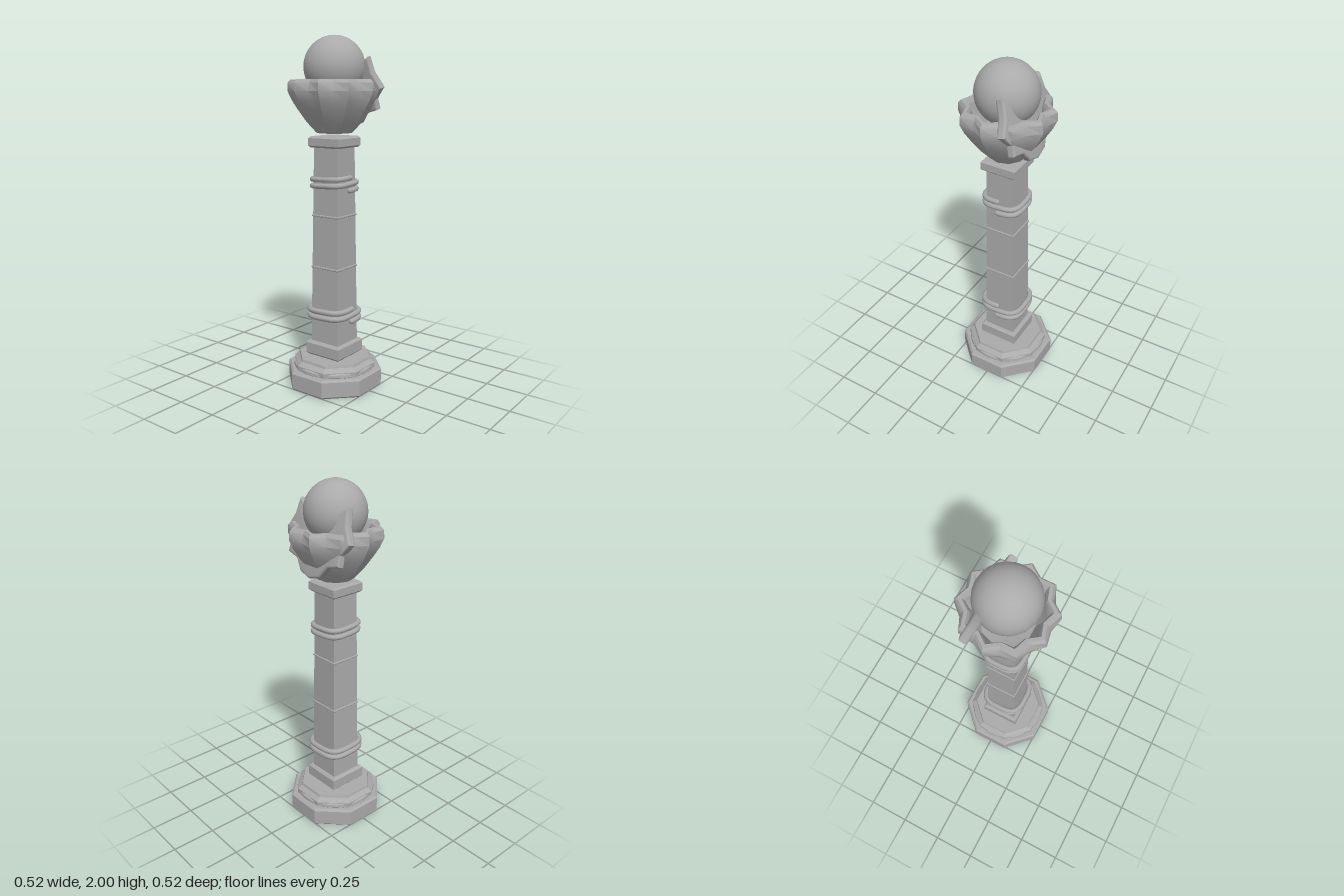
import * as THREE from 'three';
import { toCreasedNormals } from 'three/addons/utils/BufferGeometryUtils.js';

const stone = new THREE.MeshStandardMaterial({ color: 0xaaaaaa });
stone.name = 'stone grey';

export function createModel() {
  const model = new THREE.Group();
  model.name = 'orbPillar';

  const add = (name, geometry, parent = model) => {
    const mesh = new THREE.Mesh(geometry, stone);
    mesh.name = name;
    parent.add(mesh);
    return mesh;
  };

  // Regular prism from [apothem, y] pairs, with flats facing the axes
  const prism = (name, sides, profile, crease = 0.3) => {
    const k = 1 / Math.cos(Math.PI / sides);
    const points = profile.map(([a, y]) => new THREE.Vector2(a * k, y));
    const lathe = new THREE.LatheGeometry(points, sides, Math.PI / sides);
    return add(name, toCreasedNormals(lathe, crease));
  };
  // Square or octagonal block with chamfered edges
  const block = (name, sides, a, y0, y1, c) => prism(name, sides, [
    [0, y0], [a - c, y0], [a, y0 + c], [a, y1 - c], [a - c, y1], [0, y1]]);

  // Stepped foot
  block('foot', 8, 0.26, 0, 0.11, 0.011);
  prism('footRing', 40, [[0, 0.1], [0.228, 0.1], [0.236, 0.112], [0.234, 0.128], [0.225, 0.135], [0, 0.135]], 0.6);
  prism('footStep', 8, [[0, 0.11], [0.225, 0.11], [0.225, 0.138], [0.2, 0.158], [0.196, 0.172], [0, 0.172]]);

  // Tapered square shaft with its blocks and thin joints
  block('plinth', 4, 0.117, 0.175, 0.26, 0.012);
  const shaftHalf = (y) => 0.096 - 0.0125 * (y - 0.2);
  prism('shaft', 4, [[0, 0.17], [shaftHalf(0.17), 0.17], [shaftHalf(1.4), 1.4], [0, 1.4]]);
  for (const y of [0.705, 1.005]) block('shaftJoint', 4, shaftHalf(y) + 0.005, y - 0.006, y + 0.006, 0.003);
  block('capital', 4, 0.104, 1.39, 1.452, 0.01);

  // Two-turn wire coils hugging the shaft
  const coil = (half, y0, y1, radius) => {
    const path = [];
    const steps = 64;
    for (let i = 0; i <= steps; i++) {
      const t = (i / steps) * Math.PI * 4;
      const c = Math.cos(t), s = Math.sin(t);
      const r = half / Math.pow(Math.abs(c) ** 3.3 + Math.abs(s) ** 3.3, 1 / 3.3);
      path.push(new THREE.Vector3(r * c, y0 + (y1 - y0) * i / steps, -r * s));
    }
    const curve = new THREE.CatmullRomCurve3(path);
    const group = new THREE.Group();
    group.name = 'wireCoil';
    model.add(group);
    add('wire', new THREE.TubeGeometry(curve, 160, radius, 8), group);
    for (const end of [path[0], path[steps]]) {
      add('wireEnd', new THREE.SphereGeometry(radius, 8, 6), group).position.copy(end);
    }
  };
  coil(0.109, 1.152, 1.226, 0.015);
  coil(0.124, 0.392, 0.466, 0.016);

  // Ten-pointed fluted bowl: [radius, y, valley ratio], outside then inside
  const bowlProfile = [
    [0, 1.47, 0.95], [0.1, 1.47, 0.95], [0.155, 1.53, 0.95], [0.205, 1.6, 0.95],
    [0.237, 1.65, 0.93], [0.26, 1.7, 0.89], [0.258, 1.745, 0.85], [0.243, 1.762, 0.85],
    [0.222, 1.762, 0.85], [0.205, 1.74, 0.87], [0.19, 1.66, 0.92], [0.14, 1.57, 0.95], [0, 1.53, 0.95]];
  const bowl = new THREE.LatheGeometry(
    bowlProfile.map(([r, y]) => new THREE.Vector2(r, y)), 20, Math.PI / 2);
  const pos = bowl.attributes.position;
  const rows = bowlProfile.length;
  for (let i = 0; i < pos.count; i++) {
    if (Math.floor(i / rows) % 2 === 0) continue;
    const ratio = bowlProfile[i % rows][2];
    pos.setX(i, pos.getX(i) * ratio);
    pos.setZ(i, pos.getZ(i) * ratio);
  }
  add('bowl', toCreasedNormals(bowl, 0.5));

  // Jagged plate leaning through the back of the bowl
  const half = [[0, 0.13], [0.075, 0.12], [0.13, 0.155], [0.178, 0.185], [0.19, 0.11],
    [0.236, 0.03], [0.185, -0.03], [0.19, -0.085], [0.115, -0.105], [0.07, -0.165], [0, -0.185]];
  const outline = [...half, ...half.slice(1, -1).reverse().map(([x, y]) => [-x, y])];
  const plateShape = new THREE.Shape(outline.map(([x, y]) => new THREE.Vector2(x, y)));
  const plateGeometry = new THREE.ExtrudeGeometry(plateShape, {
    depth: 0.02, bevelThickness: 0.014, bevelSize: 0.012, bevelSegments: 3 });
  plateGeometry.translate(0, 0, -0.01);
  const plate = add('backPlate', toCreasedNormals(plateGeometry, 0.7));
  plate.position.set(0, 1.69, -0.116);
  plate.rotation.x = 0.27;

  // Orb resting in the bowl
  add('orb', new THREE.SphereGeometry(0.171, 24, 16)).position.y = 1.829;

  return model;
}
